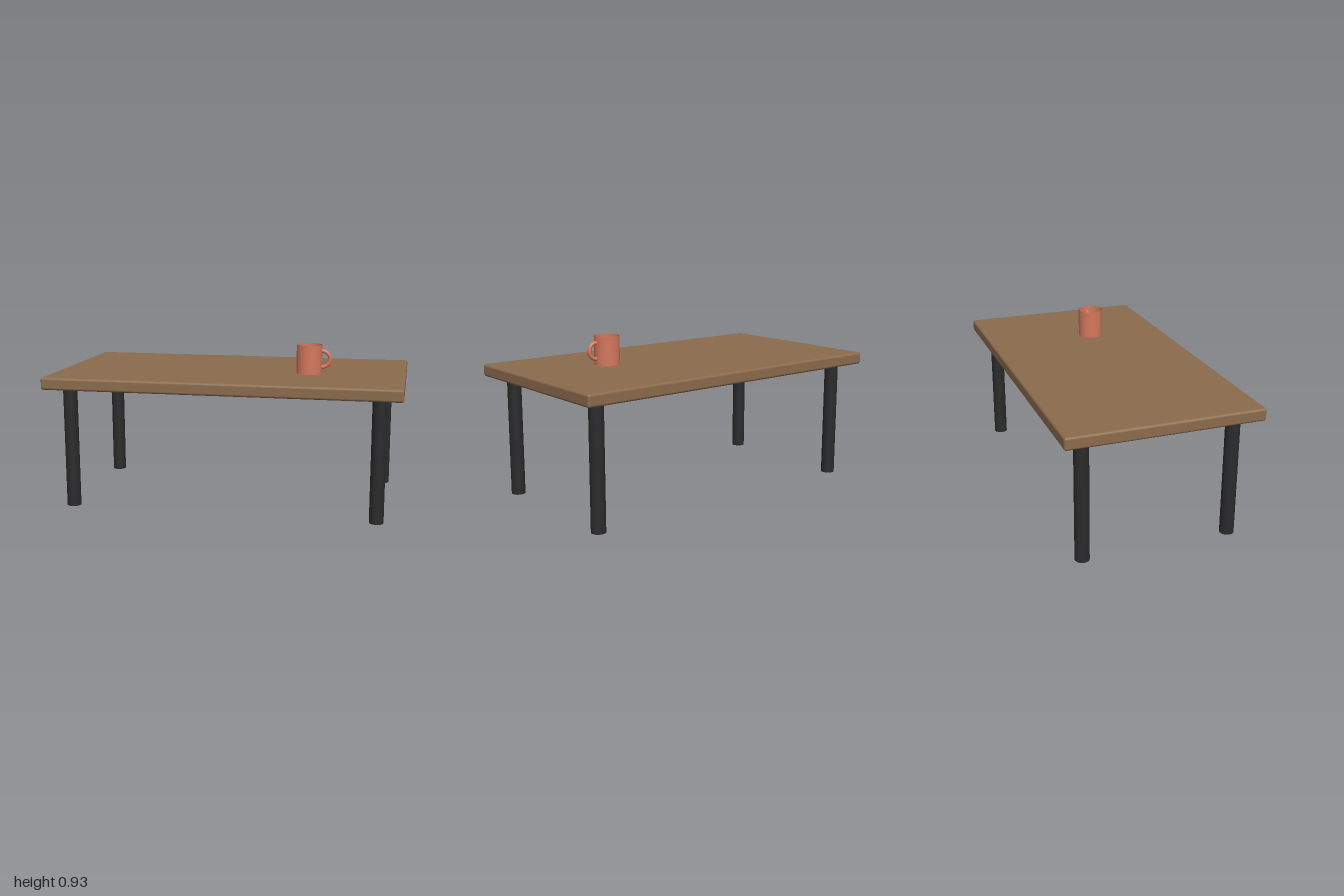
import * as THREE from 'three';
import { RoundedBoxGeometry } from 'three/addons/geometries/RoundedBoxGeometry.js';

function material(name, color) {
  const m = new THREE.MeshStandardMaterial({ color });
  m.name = name;
  return m;
}

function part(parent, name, geometry, mat, x, y, z) {
  const mesh = new THREE.Mesh(geometry, mat);
  mesh.name = name;
  mesh.position.set(x, y, z);
  parent.add(mesh);
  return mesh;
}

export function createModel() {
  const wood = material('wood brown', 0x8b6b4d);
  const black = material('leg black', 0x2b2b2b);
  const clay = material('mug terracotta', 0xd4785c);
  clay.side = THREE.DoubleSide;

  const model = new THREE.Group();
  model.name = 'tableWithMug';

  // Tabletop with softened edges
  const topY = 0.765, underY = 0.695;
  part(model, 'tabletop', new RoundedBoxGeometry(2, topY - underY, 1.09, 4, 0.014), wood,
    0, (topY + underY) / 2, 0);

  // Four round legs
  const legGeometry = new THREE.CylinderGeometry(0.04, 0.04, underY, 32);
  for (const [sx, side] of [[1, 'left'], [-1, 'right']]) {
    for (const [sz, end] of [[1, 'Front'], [-1, 'Back']]) {
      part(model, `${side}${end}Leg`, legGeometry, black, sx * 0.873, underY / 2, sz * 0.419);
    }
  }

  // Open thin-walled mug with a ring handle through its wall
  const mug = new THREE.Group();
  mug.name = 'mug';
  mug.position.set(0.453, topY, 0.091);
  model.add(mug);
  const radius = 0.073, height = 0.165;
  part(mug, 'mugWall', new THREE.CylinderGeometry(radius, radius, height, 48, 1, true), clay,
    0, height / 2, 0);
  part(mug, 'mugBottom', new THREE.CircleGeometry(radius, 48), clay, 0, 0.003, 0)
    .rotation.x = -Math.PI / 2;
  part(mug, 'mugHandle', new THREE.TorusGeometry(0.046, 0.011, 16, 48), clay,
    radius, 0.084, 0);

  return model;
}
